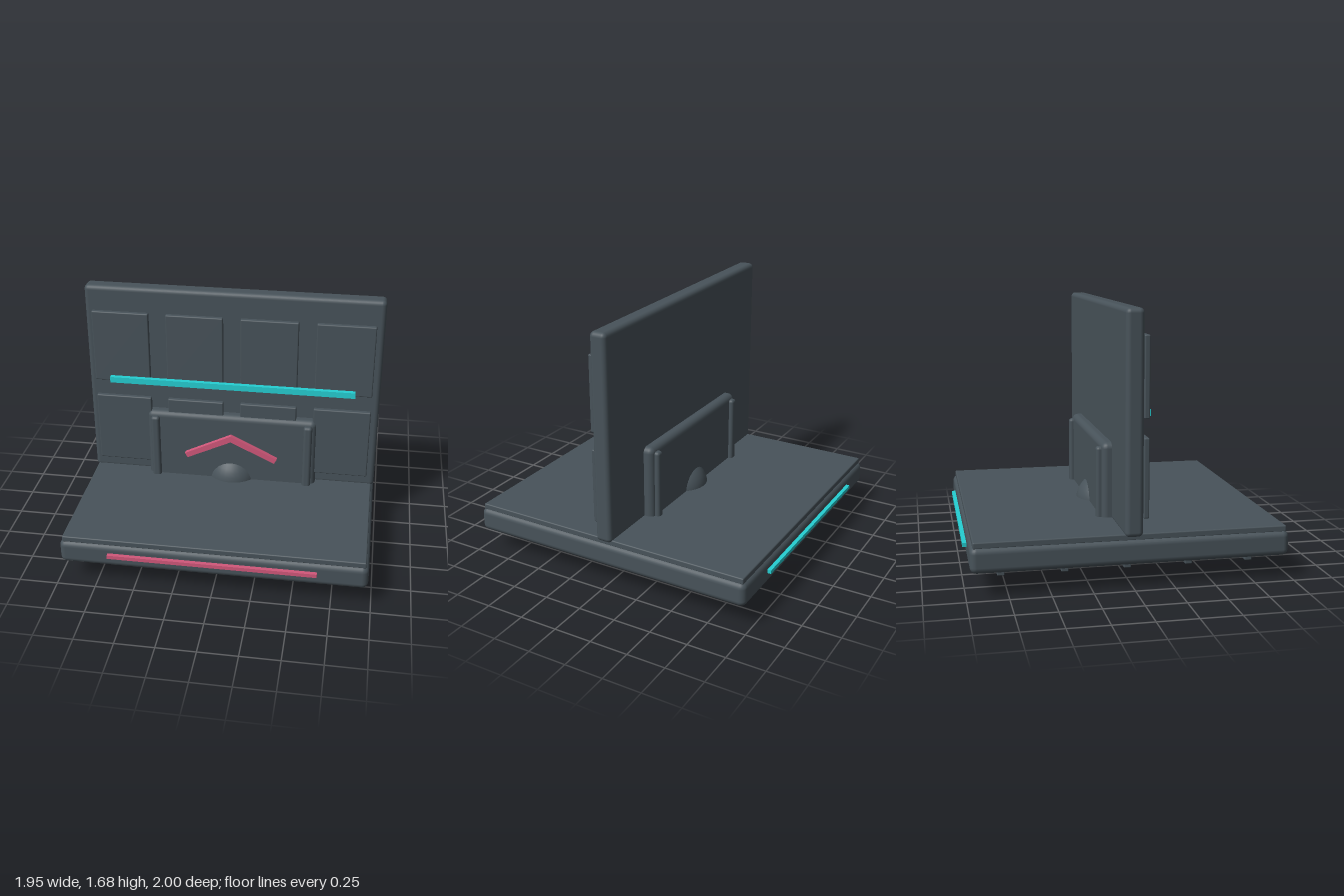
import * as THREE from 'three';
import { RoundedBoxGeometry } from 'three/addons/geometries/RoundedBoxGeometry.js';

export function createModel() {
  const model = new THREE.Group();
  model.name = 'barrierPlatform';

  const material = (name, color) => {
    const m = new THREE.MeshStandardMaterial({ color });
    m.name = name;
    return m;
  };
  const slate = material('slate', 0x48535a);
  const cyan = material('cyan', 0x25cfd3);
  const pink = material('pink', 0xd2587b);

  const add = (name, geometry, mat, x = 0, y = 0, z = 0) => {
    const mesh = new THREE.Mesh(geometry, mat);
    mesh.name = name;
    mesh.position.set(x, y, z);
    model.add(mesh);
    return mesh;
  };
  // Box given by its limits, with optional rounded edges
  const block = (name, mat, [x0, x1], [y0, y1], [z0, z1], radius = 0) => {
    const size = [x1 - x0, y1 - y0, z1 - z0];
    const geometry = radius
      ? new RoundedBoxGeometry(...size, 3, radius)
      : new THREE.BoxGeometry(...size);
    return add(name, geometry, mat, (x0 + x1) / 2, (y0 + y1) / 2, (z0 + z1) / 2);
  };

  // Base slab, deck plate and ribs underneath
  block('base', slate, [-0.975, 0.975], [0.16, 0.32], [-0.975, 0.975], 0.04);
  block('deck', slate, [-0.957, 0.957], [0.31, 0.35], [-0.957, 0.957], 0.008);
  for (let i = -2; i <= 2; i++) {
    const z = i * 0.39;
    block('rib', slate, [-0.78, 0.78], [0.083, 0.18], [z - 0.023, z + 0.023], 0.006);
  }

  // Upright wall
  block('wall', slate, [-0.975, 0.975], [0.33, 1.69], [-0.056, 0.056], 0.03);

  // Two rows of raised panels on the front of the wall
  for (const x of [-0.735, -0.245, 0.245, 0.735]) {
    block('upperPanel', slate, [x - 0.188, x + 0.188], [1.035, 1.53], [0.066, 0.1], 0.008);
    block('lowerPanel', slate, [x - 0.188, x + 0.188], [0.43, 0.92], [0.066, 0.1], 0.008);
  }

  // Housing around the foot of the wall, with end posts
  block('housing', slate, [-0.575, 0.575], [0.3, 0.83], [-0.12, 0.12], 0.04);
  for (const x of [-0.517, 0.517]) {
    block('post', slate, [x - 0.029, x + 0.029], [0.31, 0.8], [-0.15, 0.15], 0.02);
  }

  // Central hub and the ring showing below the base
  add('hub', new THREE.SphereGeometry(0.185, 32, 20), slate, 0, 0.325, 0);
  add('ring', new THREE.TorusGeometry(0.29, 0.03, 12, 56), pink, 0, 0.33, 0);

  // Light strips
  block('wallStrip', cyan, [-0.815, 0.815], [1.035, 1.075], [0.1, 0.13]);
  block('frontStrip', pink, [-0.66, 0.66], [0.24, 0.265], [0.965, 1]);
  block('backStrip', cyan, [-0.66, 0.66], [0.24, 0.265], [-1, -0.965]);

  // Chevron on the housing
  const chevron = new THREE.Shape([
    [0, 0.695], [-0.315, 0.54], [-0.298, 0.507], [0, 0.65], [0.298, 0.507], [0.315, 0.54],
  ].map(([x, y]) => new THREE.Vector2(x, y)));
  add('chevron', new THREE.ExtrudeGeometry(chevron, { depth: 0.035, bevelEnabled: false }),
    pink, 0, 0, 0.115);

  return model;
}
